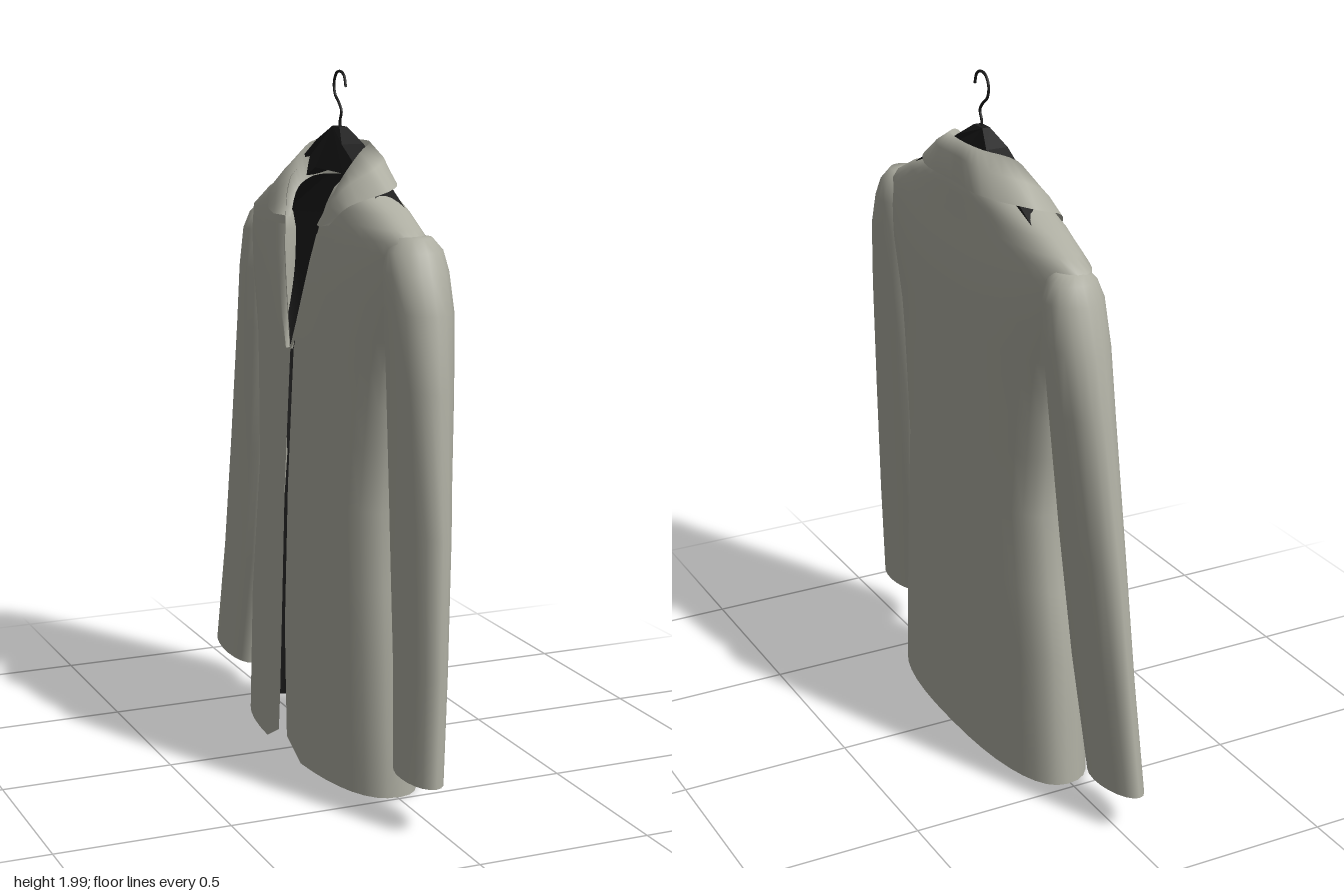
import * as THREE from 'three';

const cloth = new THREE.MeshStandardMaterial({ color: 0xaeaea2, side: THREE.DoubleSide });
cloth.name = 'warm grey cloth';
const black = new THREE.MeshStandardMaterial({ color: 0x1c1c1c, side: THREE.DoubleSide });
black.name = 'black';

// Smooth surface through equal-length rows of [x, y, z]
function loft(rows, closed = false) {
  const n = rows[0].length, index = [];
  for (let i = 0; i < rows.length - 1; i++)
    for (let j = 0; j < (closed ? n : n - 1); j++) {
      const a = i * n + j, b = i * n + (j + 1) % n;
      index.push(a, a + n, b, b, a + n, b + n);
    }
  const g = new THREE.BufferGeometry();
  g.setAttribute('position', new THREE.Float32BufferAttribute(rows.flat(2), 3));
  g.setIndex(index);
  g.computeVertexNormals();
  return g;
}

// Body sections: y, +z edge, -z edge, chest x, back x
const BODY = [
  [0.01, 0.49, -0.48, -0.15, 0.145], [0.4, 0.475, -0.45, -0.15, 0.142],
  [0.82, 0.445, -0.375, -0.148, 0.138], [1.2, 0.49, -0.42, -0.13, 0.135],
  [1.4, 0.56, -0.49, -0.118, 0.132], [1.5, 0.585, -0.515, -0.11, 0.124],
  [1.575, 0.59, -0.515, -0.1, 0.112], [1.64, 0.46, -0.39, -0.088, 0.104],
  [1.69, 0.32, -0.25, -0.075, 0.098], [1.72, 0.235, -0.165, -0.06, 0.085],
];
const N = 2.4, SIDE_X = 0.005;

function section(y) {
  let i = 0;
  while (i < BODY.length - 2 && y > BODY[i + 1][0]) i++;
  const a = BODY[i], b = BODY[i + 1], t = (y - a[0]) / (b[0] - a[0]);
  const [, l, r, xf, xb] = a.map((v, k) => v + (b[k] - v) * t);
  return { c: (l + r) / 2, w: (l - r) / 2, xf, xb };
}
// Half width of the front opening: slightly cut away at the hem, a V at the neck
const gap = y => y > 1.22 ? 0.012 + (y - 1.22) * 0.31 : 0.012 + 0.02 * Math.max(0, 1 - y / 0.4);
const frontX = (y, d) => {
  const { w, xf } = section(y);
  return SIDE_X + (xf - SIDE_X) * Math.pow(Math.max(0, 1 - Math.pow(d / w, N)), 1 / N);
};

// One horizontal row round the body, from start angle to the back and round again
function bodyRow(y, start, inset) {
  const { c, w, xf, xb } = section(y), half = [];
  for (let j = 0; j <= 18; j++) {
    const a = start + (Math.PI - start) * j / 18;
    const d = (w - inset) * Math.pow(Math.max(0, Math.sin(a)), 2 / N);
    const k = Math.cos(a);
    const depth = (k > 0 ? xf + inset : xb - inset) - SIDE_X;
    const lift = k > 0 && y < 0.02 ? 0.09 * Math.pow(Math.max(0, 1 - d / 0.13), 2) : 0;
    half.push([SIDE_X + depth * Math.pow(Math.abs(k), 2 / N), y + lift, d]);
  }
  const side = s => half.map(([x, yy, d]) => [x, yy, c + s * d]);
  return [...side(1), ...side(-1).reverse().slice(1)];
}

const BODY_YS = [0.01, 0.2, 0.4, 0.6, 0.82, 1.0, 1.12, 1.22, 1.3, 1.4, 1.45, 1.5, 1.54, 1.575, 1.605, 1.64, 1.665, 1.69, 1.72];

// Sleeve sections: y, outer z, inner z, front x, back x
const LEFT_SLEEVE = [
  [0.15, 0.805, 0.575, -0.085, 0.02], [0.45, 0.792, 0.535, -0.072, 0.038],
  [0.82, 0.77, 0.485, -0.066, 0.06], [1.2, 0.722, 0.465, -0.07, 0.088],
  [1.4, 0.692, 0.46, -0.075, 0.1], [1.5, 0.652, 0.46, -0.075, 0.1],
  [1.555, 0.622, 0.465, -0.06, 0.09], [1.59, 0.595, 0.49, -0.03, 0.06], [1.592, 0.55, 0.54, 0.01, 0.02],
];
const RIGHT_SLEEVE = [
  [0.115, -0.805, -0.54, -0.085, 0.015], [0.45, -0.768, -0.475, -0.072, 0.038],
  [0.8, -0.72, -0.43, -0.068, 0.06], [1.2, -0.642, -0.405, -0.072, 0.088],
  [1.38, -0.602, -0.4, -0.075, 0.1], [1.5, -0.56, -0.4, -0.072, 0.098],
  [1.55, -0.535, -0.41, -0.055, 0.085], [1.575, -0.515, -0.43, -0.03, 0.06], [1.577, -0.47, -0.46, 0.01, 0.02],
];
function sleeve(sections, tilt) {
  return loft(sections.map(([y, zo, zi, x0, x1], i) => Array.from({ length: 20 }, (_, j) => {
    const a = j / 20 * Math.PI * 2, k = Math.cos(a);
    return [(x0 + x1) / 2 + Math.sin(a) * (x1 - x0) / 2, y - (i === 0 ? tilt * k : 0), (zo + zi) / 2 + k * (zo - zi) / 2];
  })), true);
}

// Folded lapel lying on the chest; s is the side
const LAPEL = [[1.22, 0.02], [1.3, 0.095], [1.4, 0.165], [1.48, 0.215], [1.56, 0.255]];
function lapel(s) {
  return loft(LAPEL.map(([y, edge]) => {
    const g = gap(y), row = [];
    for (let j = 0; j <= 5; j++) {
      const d = g + (edge - g) * j / 5;
      row.push([frontX(y, d) - (j === 0 ? 0.002 : 0.013), y, section(y).c + s * d]);
    }
    return row;
  }));
}

// Collar stations from centre back to front end: [x, y, distance from middle]
const COLLAR = {
  stand: [[0.068, 1.7, 0], [0.058, 1.7, 0.09], [0.005, 1.69, 0.16], [-0.045, 1.66, 0.155], [-0.085, 1.58, 0.12]],
  fold: [[0.075, 1.805, 0], [0.066, 1.805, 0.1], [0.0, 1.785, 0.178], [-0.05, 1.72, 0.175], [-0.108, 1.585, 0.13]],
  spread: [[0.1, 1.77, 0], [0.093, 1.765, 0.13], [0.012, 1.745, 0.25], [-0.072, 1.69, 0.225], [-0.117, 1.585, 0.17]],
  edge: [[0.112, 1.7, 0], [0.108, 1.7, 0.18], [0.02, 1.69, 0.325], [-0.08, 1.65, 0.285], [-0.112, 1.595, 0.225]],
};
function collar() {
  return loft(Object.values(COLLAR).map(pts => {
    const all = [...pts.slice(1).reverse().map(([x, y, d]) => [x, y, -d]), ...pts];
    const curve = new THREE.CatmullRomCurve3(all.map(([x, y, d]) => new THREE.Vector3(x, y, d + 0.038)));
    return Array.from({ length: 33 }, (_, i) => curve.getPoint(i / 32).toArray());
  }));
}

// Hanger arms: an arch across z, narrower at the top
function hangerArms() {
  const half = [[0.025, 1.843], [0.09, 1.8], [0.43, 1.615], [0.43, 1.575], [0.1, 1.72]];
  const pts = [...half, ...half.map(([z, y]) => [-z, y]).reverse()];
  const shape = new THREE.Shape(pts.map(([z, y]) => new THREE.Vector2(z, y)));
  const g = new THREE.ExtrudeGeometry(shape, { depth: 0.066, bevelEnabled: false });
  g.translate(0, 0, -0.033);
  const p = g.attributes.position;
  for (let i = 0; i < p.count; i++)
    if (p.getY(i) > 1.82) p.setZ(i, p.getZ(i) * 0.35);
  g.rotateY(-Math.PI / 2);
  g.translate(0.017, 0, 0.038);
  g.computeVertexNormals();
  return g;
}

function hangerHook() {
  const pts = [[0.04, 1.83], [0.04, 1.86], [0.05, 1.885], [0.03, 1.91], [0.005, 1.93], [-0.003, 1.96],
    [0.012, 1.988], [0.04, 1.996], [0.068, 1.985], [0.08, 1.955]];
  const path = new THREE.CatmullRomCurve3(pts.map(([z, y]) => new THREE.Vector3(0.017, y, z)));
  return new THREE.TubeGeometry(path, 40, 0.004, 8);
}

export function createModel() {
  const model = new THREE.Group();
  const add = (name, geometry, material) => {
    const mesh = new THREE.Mesh(geometry, material);
    mesh.name = name;
    model.add(mesh);
  };
  add('body', loft(BODY_YS.map(y => bodyRow(y, Math.asin(Math.pow(gap(y) / section(y).w, N / 2)), 0))), cloth);
  add('backLining', loft(BODY_YS.map(y => bodyRow(y, Math.PI * 0.52, 0.01))), black);
  add('leftSleeve', sleeve(LEFT_SLEEVE, 0), cloth);
  add('rightSleeve', sleeve(RIGHT_SLEEVE, -0.016), cloth);
  add('leftLapel', lapel(1), cloth);
  add('rightLapel', lapel(-1), cloth);
  add('collar', collar(), cloth);
  add('hangerArms', hangerArms(), black);
  add('hangerHook', hangerHook(), black);
  return model;
}
